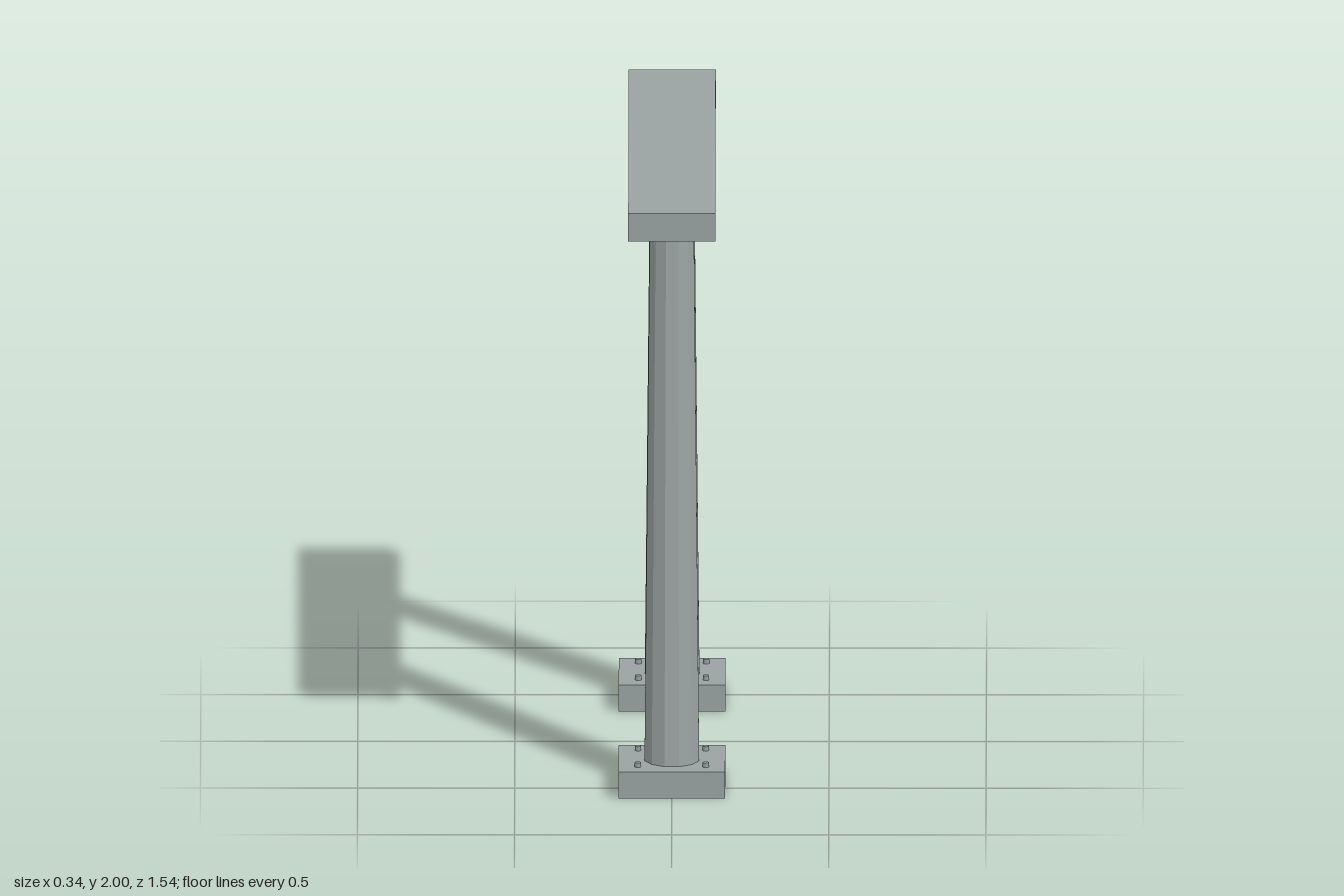
import * as THREE from 'three';

export function createModel() {
  const model = new THREE.Group();
  const material = new THREE.MeshStandardMaterial({ color: 0x9aa3a2 });
  const legMaterial = new THREE.MeshStandardMaterial({ color: 0x9aa3a2, flatShading: true });

  const add = (parent, name, geometry, mat, x, y, z) => {
    const mesh = new THREE.Mesh(geometry, mat);
    mesh.name = name;
    mesh.position.set(x, y, z);
    parent.add(mesh);
    return mesh;
  };

  // Top beam
  add(model, 'topBeam', new THREE.BoxGeometry(0.277, 0.094, 1.54), material, 0, 1.953, 0);

  // Shared parts of the two supports
  const baseGeometry = new THREE.BoxGeometry(0.34, 0.088, 0.29);
  const boltGeometry = new THREE.CylinderGeometry(0.01, 0.01, 0.03, 8);
  const up = new THREE.Vector3(0, 1, 0);

  for (const side of [1, -1]) {
    const support = new THREE.Group();
    support.name = side > 0 ? 'frontSupport' : 'backSupport';
    model.add(support);

    // Base block
    add(support, 'base', baseGeometry, material, 0, 0.044, side * 0.466);

    // Tapered, faceted leg leaning inward, with flats facing front and sides
    const bottom = new THREE.Vector3(0, 0.075, side * 0.467);
    const top = new THREE.Vector3(0, 1.902, side * 0.357);
    const axis = top.clone().sub(bottom);
    const middle = top.clone().add(bottom).multiplyScalar(0.5);
    const legGeometry = new THREE.CylinderGeometry(
      0.072, 0.09, axis.length(), 12, 1, false, Math.PI / 12);
    const leg = add(support, 'leg', legGeometry, legMaterial, 0, middle.y, middle.z);
    leg.quaternion.setFromUnitVectors(up, axis.normalize());

    // Anchor bolts at the corners of the base
    for (const x of [-0.108, 0.108])
      for (const z of [-0.088, 0.088])
        add(support, 'anchorBolt', boltGeometry, material, x, 0.088, side * 0.466 + z);
  }
  return model;
}
